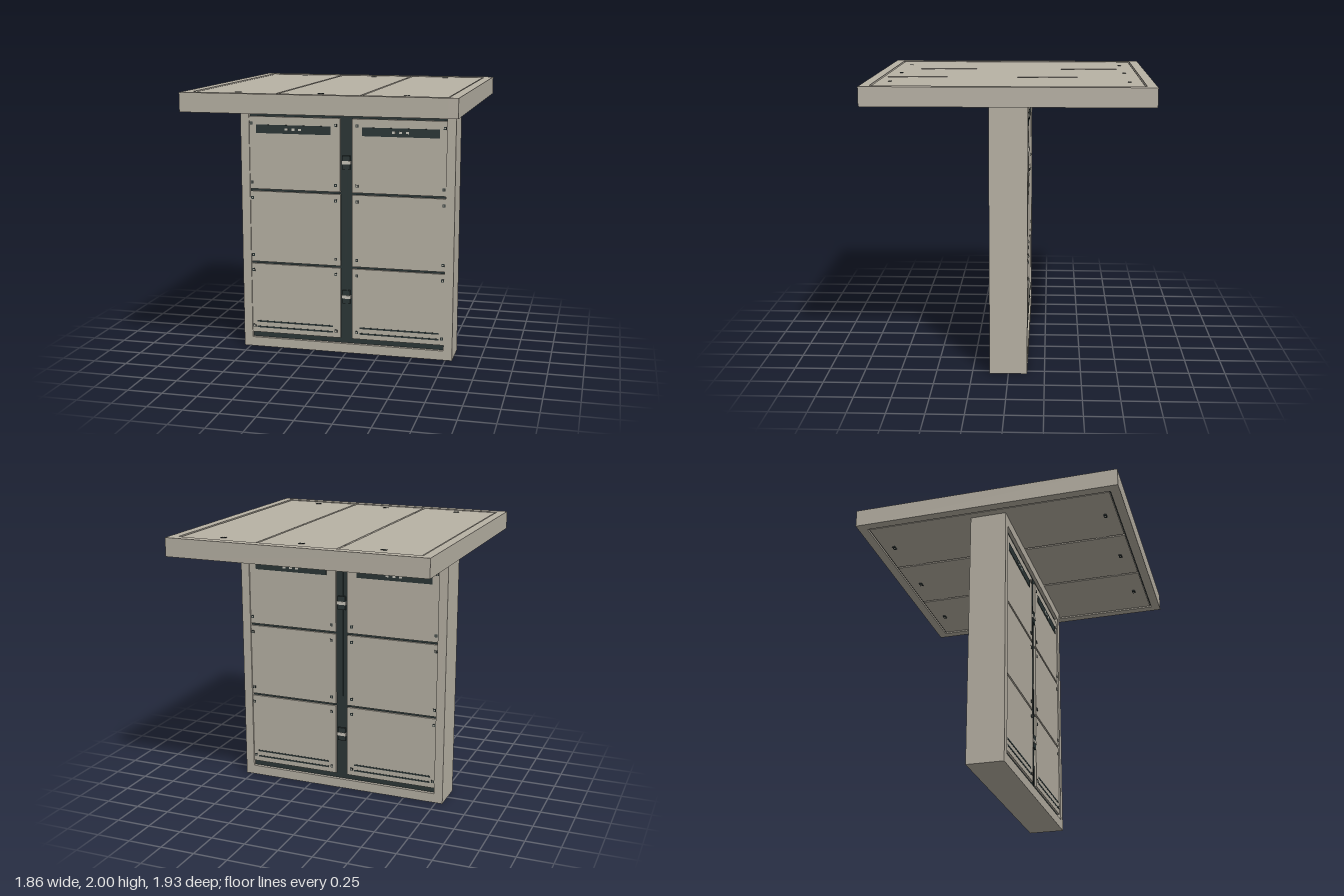
import * as THREE from 'three';

export function createModel() {
  const model = new THREE.Group();
  const mat = (name, color) => {
    const m = new THREE.MeshStandardMaterial({ color });
    m.name = name;
    return m;
  };
  const shell = mat('warm grey shell', 0xb8b2a5);
  const dark = mat('dark slate', 0x2c3737);
  const pale = mat('pale grey', 0xc9c6bb);

  // Box given by its extents on each axis
  const box = (parent, name, material, [x0, x1], [y0, y1], [z0, z1]) => {
    const mesh = new THREE.Mesh(new THREE.BoxGeometry(x1 - x0, y1 - y0, z1 - z0), material);
    mesh.position.set((x0 + x1) / 2, (y0 + y1) / 2, (z0 + z1) / 2);
    mesh.name = name;
    parent.add(mesh);
  };
  const around = (c, size) => [c - size / 2, c + size / 2];
  const group = (name) => {
    const g = new THREE.Group();
    g.name = name;
    model.add(g);
    return g;
  };

  // Wall frame and dark core
  const wall = group('wallFrame');
  box(wall, 'wallCore', dark, [-0.74, 0.74], [0.05, 1.82], [-0.105, 0.105]);
  for (const s of [-1, 1]) box(wall, 'sidePost', shell, around(s * 0.7675, 0.065), [0, 1.88], [-0.13, 0.13]);
  box(wall, 'bottomBeam', shell, [-0.735, 0.735], [0, 0.07], [-0.13, 0.13]);
  box(wall, 'topBeam', shell, [-0.735, 0.735], [1.8, 1.88], [-0.13, 0.13]);

  // The same panelled face on the front and the back
  const rows = [[0.11, 0.648], [0.665, 1.203], [1.22, 1.76]];
  const Z = 0.12;
  for (const turn of [0, Math.PI]) {
    const face = group(turn ? 'backFace' : 'frontFace');
    face.rotation.y = turn;

    for (const s of [-1, 1]) {
      const cx = s * 0.4;
      for (const [y0, y1] of rows) {
        box(face, 'wallPanel', shell, around(s * 0.39, 0.69), [y0, y1], [0.09, Z]);
        // Corner bolts
        for (const x of [s * 0.08, s * 0.72]) {
          for (const y of [y0 + 0.05, y1 - 0.05]) {
            box(face, 'boltRim', dark, around(x, 0.021), around(y, 0.021), [Z - 0.004, Z + 0.003]);
            box(face, 'boltHead', shell, around(x, 0.009), around(y, 0.009), [Z, Z + 0.005]);
          }
        }
      }
      // Display strip with three lamps
      box(face, 'displayStrip', dark, around(cx, 0.566), [1.637, 1.7], [Z - 0.004, Z + 0.003]);
      for (const dx of [-0.05, 0, 0.05]) {
        box(face, 'lamp', pale, around(cx + dx, 0.023), around(1.669, 0.016), [Z, Z + 0.005]);
      }
      // Lower vent slots
      for (const y of [0.152, 0.196]) {
        box(face, 'ventSlot', dark, around(cx, 0.595), around(y, 0.012), [Z - 0.004, Z + 0.002]);
      }
    }

    // Centre channel spine and two latches
    box(face, 'channelSpine', dark, [-0.01, 0.01], [0.09, 1.78], [0.1, 0.112]);
    for (const y of [0.43, 1.44]) {
      box(face, 'latchBody', dark, [-0.03, 0.03], around(y, 0.1), [0.1, 0.122]);
      box(face, 'latchBar', pale, [-0.035, 0.035], around(y, 0.024), [0.1, 0.127]);
    }
  }

  // Roof frame and dark core
  const roof = group('roof');
  const top = [1.87, 2];
  box(roof, 'roofCore', dark, [-0.87, 0.87], [1.886, 1.984], [-0.905, 0.905]);
  for (const s of [-1, 1]) {
    box(roof, 'roofSideBeam', shell, around(s * 0.8975, 0.065), top, [-0.965, 0.965]);
    box(roof, 'roofEndBeam', shell, [-0.865, 0.865], top, around(s * 0.9325, 0.065));
  }

  // Three roof panels, with fasteners through both faces
  for (const [x0, x1] of [[-0.852, -0.293], [-0.278, 0.278], [0.293, 0.852]]) {
    box(roof, 'roofPanel', shell, [x0, x1], [1.874, 1.996], [-0.89, 0.89]);
    const cx = (x0 + x1) / 2;
    for (const z of [-0.805, 0.805]) {
      box(roof, 'fastenerPlate', dark, around(cx, 0.038), [1.866, 1.999], around(z, 0.022));
      box(roof, 'fastenerPin', pale, around(cx, 0.01), [1.865, 2], around(z, 0.01));
    }
  }
  // Joining strips in the gaps between roof panels
  for (const x of [-0.2855, 0.2855]) {
    for (const z of [-0.72, 0.72]) {
      box(roof, 'joiningStrip', pale, around(x, 0.006), [1.876, 1.994], around(z, 0.08));
    }
  }
  return model;
}
